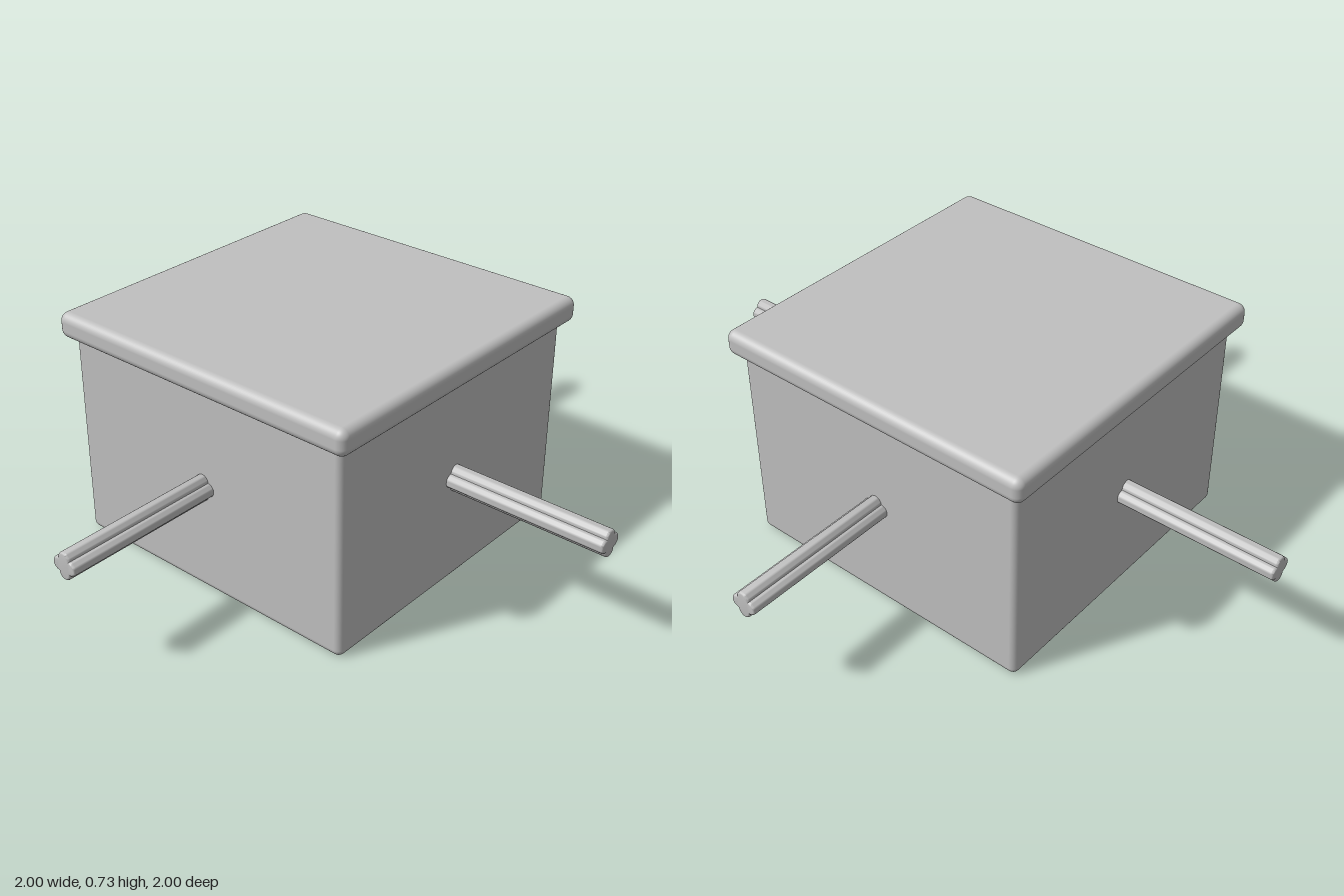
import * as THREE from 'three';
import { toCreasedNormals } from 'three/addons/utils/BufferGeometryUtils.js';
import { RoundedBoxGeometry } from 'three/addons/geometries/RoundedBoxGeometry.js';

const BODY_TOP = 0.68, LID_BOTTOM = 0.65, LID_TOP = 0.73, ROD_Y = 0.345;

// Cross-shaped rod section: four half-round lobes meeting in notches
function rodSection() {
  const lobe = 0.021;
  const shape = new THREE.Shape();
  for (let i = 0; i < 4; i++) {
    const a = (i * Math.PI) / 2;
    shape.absarc(Math.cos(a) * lobe, Math.sin(a) * lobe, lobe, a - Math.PI / 2, a + Math.PI / 2, false);
  }
  return shape;
}

// Rod running outward along +z from inside the box, with a softened tip
function rodGeometry() {
  const start = 0.45, bevel = 0.006;
  const geometry = new THREE.ExtrudeGeometry(rodSection(), {
    depth: 1 - start - 2 * bevel,
    bevelEnabled: true,
    bevelThickness: bevel,
    bevelSize: bevel,
    bevelOffset: -bevel,
    bevelSegments: 3,
    curveSegments: 10,
  });
  geometry.translate(0, 0, start + bevel);
  return toCreasedNormals(geometry, 0.7);
}

export function createModel() {
  const model = new THREE.Group();
  model.name = 'boxWithRods';
  const grey = new THREE.MeshStandardMaterial({ color: 0xc0c0c0 });
  grey.name = 'lightGrey';

  const add = (name, geometry, y) => {
    const mesh = new THREE.Mesh(geometry, grey);
    mesh.name = name;
    mesh.position.y = y;
    model.add(mesh);
    return mesh;
  };

  // Box body and its overhanging lid
  add('body', new RoundedBoxGeometry(1, BODY_TOP, 1, 5, 0.022), BODY_TOP / 2);
  add('lid', new RoundedBoxGeometry(1.065, LID_TOP - LID_BOTTOM, 1.065, 5, 0.027), (LID_TOP + LID_BOTTOM) / 2);

  // One rod out of the middle of each side
  const rod = rodGeometry();
  ['frontRod', 'leftRod', 'backRod', 'rightRod'].forEach((name, i) => {
    add(name, rod, ROD_Y).rotation.y = (i * Math.PI) / 2;
  });

  return model;
}
